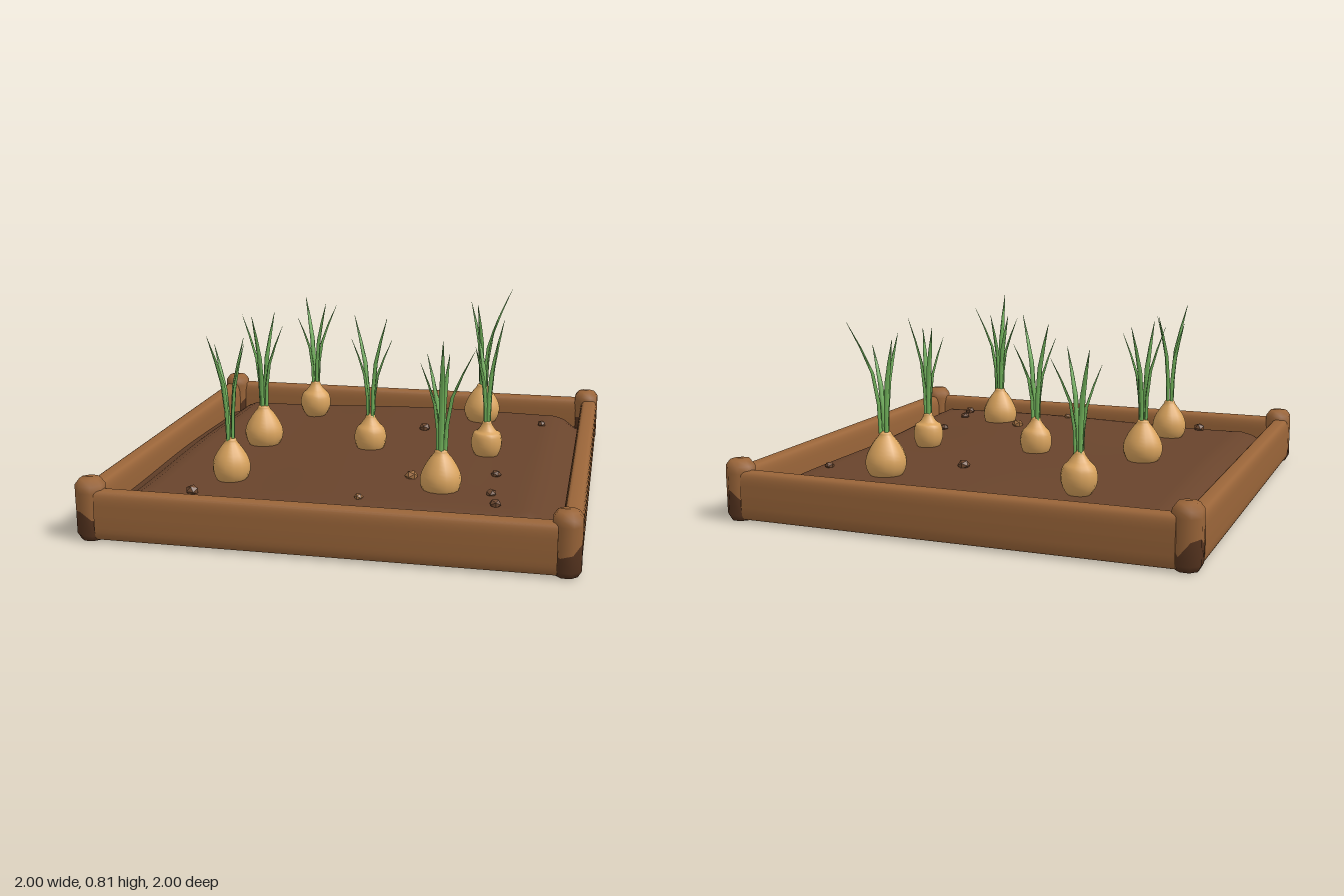
import * as THREE from 'three';

const paint = (name, color, extra = {}) => {
  const m = new THREE.MeshStandardMaterial({ color, ...extra });
  m.name = name;
  return m;
};

// Gently uneven ground that dips toward the frame
function soilHeight(x, z) {
  const dip = (v) => THREE.MathUtils.smoothstep(Math.abs(v), 0.78, 0.93);
  const waves = 0.006 * Math.sin(x * 4 + 1) + 0.006 * Math.sin(z * 4.5 - x * 2);
  return 0.161 + waves + 0.012 * z - 0.07 * Math.max(dip(x), dip(z)) - 0.03 * dip(x) * dip(z);
}

// Plank along x with a softly bulging, rounded section
function plankGeometry(length, height, depth) {
  const g = new THREE.CylinderGeometry(1, 1, length, 32).rotateZ(Math.PI / 2);
  const p = g.attributes.position;
  const soften = (v, power) => Math.sign(v) * Math.abs(v) ** power;
  for (let i = 0; i < p.count; i++) {
    p.setY(i, soften(p.getY(i), 0.5) * height / 2);
    p.setZ(i, soften(p.getZ(i), 0.5) * depth / 2);
  }
  g.computeVertexNormals();
  return g;
}

// Four-sided blade that rises from the neck, then splays out to a pointed tip
function leafGeometry(dx, dz, base, tip) {
  const reach = Math.hypot(dx, dz), ux = dx / reach, uz = dz / reach;
  const h = tip - base;
  // [outward share, height share, half width, half thickness]
  const rings = [
    [0.13, 0, 0.010, 0.008], [0.17, 0.3, 0.012, 0.008],
    [0.32, 0.56, 0.012, 0.007], [0.63, 0.78, 0.008, 0.004], [1, 1, 0.0008, 0.0006],
  ];
  const pos = [], index = [];
  rings.forEach(([o, v, w, t], r) => {
    for (let i = 0; i < 4; i++) {
      const a = (i * Math.PI) / 2;
      const out = reach * o + Math.cos(a) * t, side = Math.sin(a) * w;
      pos.push(ux * out - uz * side, base + h * v, uz * out + ux * side);
      if (r) {
        const a0 = (r - 1) * 4 + i, a1 = (r - 1) * 4 + ((i + 1) % 4);
        index.push(a0, a0 + 4, a1, a1, a0 + 4, a1 + 4);
      }
    }
  });
  const g = new THREE.BufferGeometry();
  g.setAttribute('position', new THREE.Float32BufferAttribute(pos, 3));
  g.setIndex(index);
  g.computeVertexNormals();
  return g;
}

export function createModel() {
  const model = new THREE.Group();
  model.name = 'onionBed';
  const wood = paint('wood', 0x9a6539);
  const dampWood = paint('dampWood', 0x56341f);
  const soil = paint('soil', 0x69442c, { side: THREE.DoubleSide });
  const skin = paint('onionSkin', 0xd9a35d);
  const green = paint('leafGreen', 0x73b55c, { side: THREE.DoubleSide });
  const darkStone = paint('darkClod', 0x6e4930, { flatShading: true });
  const paleStone = paint('paleClod', 0xa06f42, { flatShading: true });

  const add = (parent, name, geometry, material, x = 0, y = 0, z = 0) => {
    const mesh = new THREE.Mesh(geometry, material);
    mesh.name = name;
    mesh.position.set(x, y, z);
    parent.add(mesh);
    return mesh;
  };

  // Soil sheet
  const ground = new THREE.PlaneGeometry(1.86, 1.86, 40, 40).rotateX(-Math.PI / 2);
  const gp = ground.attributes.position;
  for (let i = 0; i < gp.count; i++) gp.setY(i, soilHeight(gp.getX(i), gp.getZ(i)));
  ground.computeVertexNormals();
  add(model, 'soil', ground, soil);

  // Four planks
  const plank = plankGeometry(1.82, 0.206, 0.084);
  ['front', 'left', 'back', 'right'].forEach((side, i) => {
    const a = (i * Math.PI) / 2;
    const p = add(model, side + 'Plank', plank, wood, Math.sin(a) * 0.957, 0.108, Math.cos(a) * 0.957);
    p.rotation.y = a;
  });

  // Corner posts: damp foot with an uneven upper line, dry top with a bevelled cap
  const octagon = (profile) => new THREE.LatheGeometry(
    profile.map(([r, y]) => new THREE.Vector2(r, y)), 8, Math.PI / 8);
  const foot = octagon([[0, 0], [0.046, 0], [0.0605, 0.025], [0.0605, 0.1]]);
  const top = octagon([[0.0605, 0.1], [0.0615, 0.2], [0.0605, 0.228], [0.042, 0.252], [0, 0.256]]);
  for (const g of [foot, top]) {
    const p = g.attributes.position;
    for (let i = 0; i < p.count; i++) {
      if (Math.abs(p.getY(i) - 0.1) > 0.001) continue;
      const a = Math.atan2(p.getZ(i), p.getX(i));
      p.setY(i, 0.1 + 0.03 * Math.sin(2 * a + 0.6) + 0.012 * Math.cos(3 * a));
    }
  }
  for (const x of [-1, 1]) for (const z of [-1, 1]) {
    const post = new THREE.Group();
    post.name = 'cornerPost';
    post.position.set(x * 0.943, 0, z * 0.943);
    if (x * z < 0) post.rotation.y = Math.PI / 2;
    add(post, 'postFoot', foot, dampWood);
    add(post, 'postTop', top, wood);
    model.add(post);
  }

  // Onions: x, z, bulb radius, neck height, then each leaf tip as [dx, dz, height]
  const onions = [
    [-0.41, -0.59, 0.076, 0.32, [[-0.07, -0.09, 0.74], [0.09, -0.09, 0.70], [-0.07, 0.07, 0.66], [0.07, 0.05, 0.73]]],
    [0.44, -0.62, 0.088, 0.34, [[0.13, -0.08, 0.81], [-0.07, -0.06, 0.74], [-0.02, 0.09, 0.75], [0.08, 0.05, 0.70]]],
    [-0.5, 0.02, 0.088, 0.34, [[0.03, -0.10, 0.76], [-0.10, -0.02, 0.76], [0.10, 0.01, 0.72], [-0.02, 0.09, 0.77]]],
    [0, 0, 0.073, 0.32, [[-0.09, -0.08, 0.76], [0.09, 0.07, 0.78], [0.09, -0.05, 0.66], [-0.07, 0.07, 0.68]]],
    [0.53, -0.03, 0.07, 0.31, [[-0.06, -0.07, 0.72], [0.06, -0.07, 0.76], [0.05, 0.06, 0.70], [-0.05, 0.07, 0.66]]],
    [-0.48, 0.56, 0.08, 0.335, [[-0.08, -0.06, 0.72], [0.04, -0.08, 0.75], [-0.05, 0.12, 0.79], [0.07, 0.01, 0.74]]],
    [0.41, 0.56, 0.085, 0.34, [[0.13, -0.01, 0.75], [0.02, 0.12, 0.81], [-0.07, -0.06, 0.72], [0.02, -0.07, 0.72], [-0.08, 0.04, 0.70]]],
  ];
  for (const [x, z, r, neck, tips] of onions) {
    const onion = new THREE.Group();
    onion.name = 'onion';
    onion.position.set(x, 0, z);
    const curve = new THREE.SplineCurve([
      [0, 0.13], [r * 0.55, 0.139], [r * 0.9, 0.175], [r, 0.216], [r * 0.88, 0.256],
      [r * 0.6, neck - 0.042], [r * 0.34, neck - 0.014], [r * 0.27, neck], [0, neck + 0.004],
    ].map(([a, b]) => new THREE.Vector2(a, b)));
    const profile = curve.getPoints(20).map((p) => p.setX(Math.max(0, p.x)));
    add(onion, 'bulb', new THREE.LatheGeometry(profile, 14), skin);
    for (const [dx, dz, h] of tips) add(onion, 'leaf', leafGeometry(dx, dz, neck - 0.03, h), green);
    model.add(onion);
  }

  // Clods scattered over the ground: x, z, radius, pale or dark
  const clods = [
    [0.19, -0.38, 0.029, 0], [0.74, -0.58, 0.022, 0], [0.61, 0.31, 0.023, 0], [0.27, 0.45, 0.029, 1],
    [0.62, 0.59, 0.023, 0], [0.65, 0.72, 0.025, 0], [-0.58, 0.77, 0.029, 0], [0.11, 0.75, 0.019, 1],
  ];
  clods.forEach(([x, z, r, pale], i) => {
    const clod = add(model, 'clod', new THREE.IcosahedronGeometry(r, 0),
      pale ? paleStone : darkStone, x, soilHeight(x, z) + r * 0.3, z);
    clod.scale.y = 0.8;
    clod.rotation.y = i * 1.3;
  });

  return model;
}
